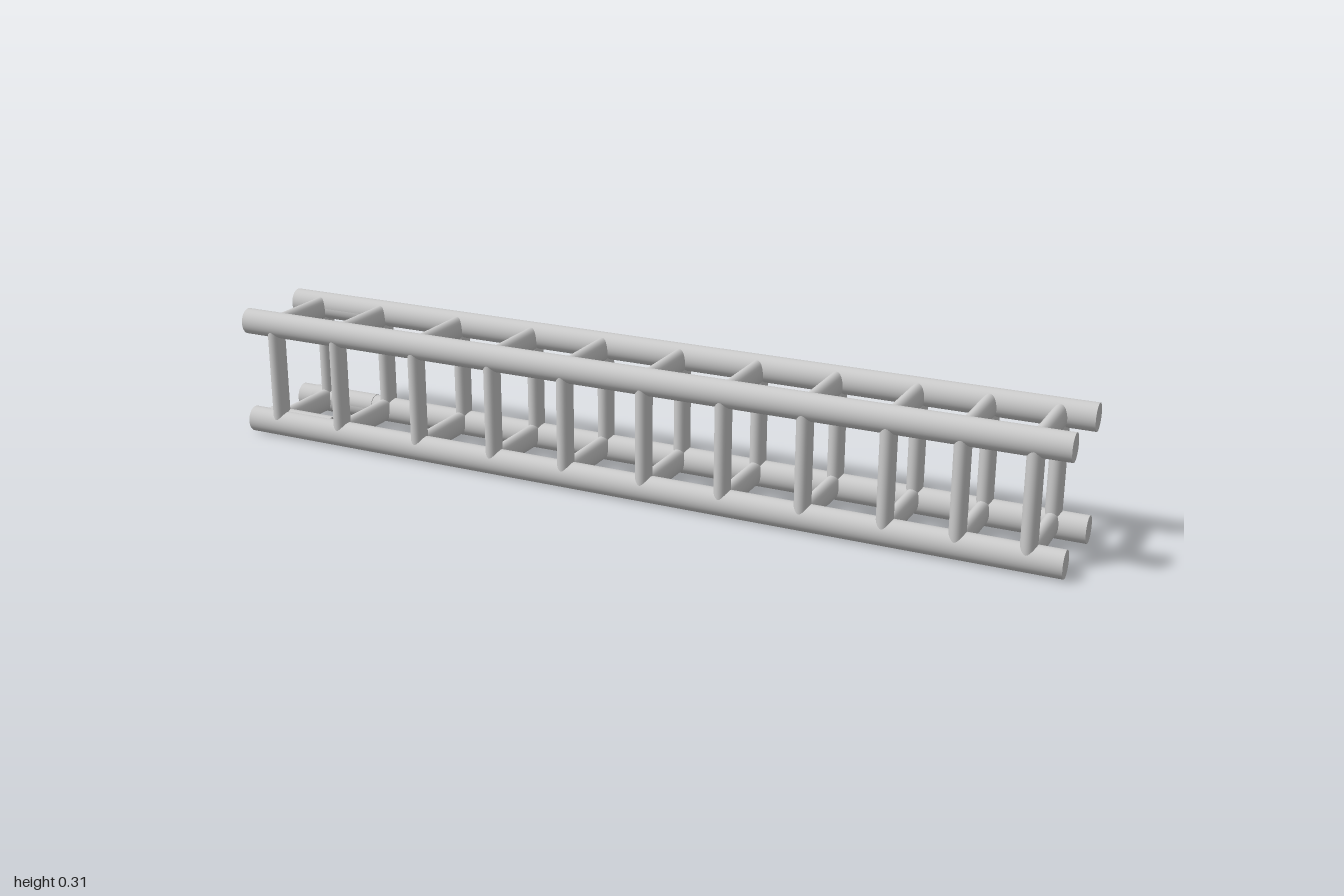
import * as THREE from 'three';

const material = new THREE.MeshStandardMaterial({ color: 0xcccccc });
const unitRod = new THREE.CylinderGeometry(1, 1, 1, 32);

// Elliptical rod along an axis; rx, ry, rz are its half-sizes
function rod(name, axis, [x, y, z], [rx, ry, rz]) {
  const g = unitRod.clone();
  if (axis === 'x') g.rotateZ(Math.PI / 2);
  if (axis === 'z') g.rotateX(Math.PI / 2);
  g.scale(axis === 'x' ? rx * 2 : rx, axis === 'y' ? ry * 2 : ry, axis === 'z' ? rz * 2 : rz);
  const mesh = new THREE.Mesh(g, material);
  mesh.name = name;
  mesh.position.set(x, y, z);
  return mesh;
}

export function createModel() {
  const model = new THREE.Group();
  model.name = 'boxTruss';
  const railZ = 0.1, railY = [0.031, 0.28], crossY = [0.0355, 0.275];

  // Four long chords, each with a short inner sleeve near the -x end
  for (const i of [0, 1]) {
    for (const side of [-1, 1]) {
      model.add(rod('longRail', 'x', [0, railY[i], side * railZ], [1, 0.031, 0.027]));
      const sleeveZ = side > 0 ? 0.087 : -0.099;
      model.add(rod('railSleeve', 'x', [-0.87, crossY[i], sleeveZ], [0.09, 0.028, 0.026]));
    }
  }

  // Square rung frames at slightly uneven spacing
  const stations = [-0.92, -0.743, -0.524, -0.321, -0.134, 0.062, 0.251, 0.437, 0.62, 0.776, 0.924];
  for (const x of stations) {
    const frame = new THREE.Group();
    frame.name = 'rungFrame';
    for (const side of [-1, 1]) {
      frame.add(rod('uprightRung', 'y', [x, 0.1555, side * railZ], [0.018, 0.12, 0.024]));
    }
    for (const y of crossY) {
      frame.add(rod('crossRung', 'z', [x, y, 0], [0.018, 0.028, 0.1]));
    }
    model.add(frame);
  }
  return model;
}
